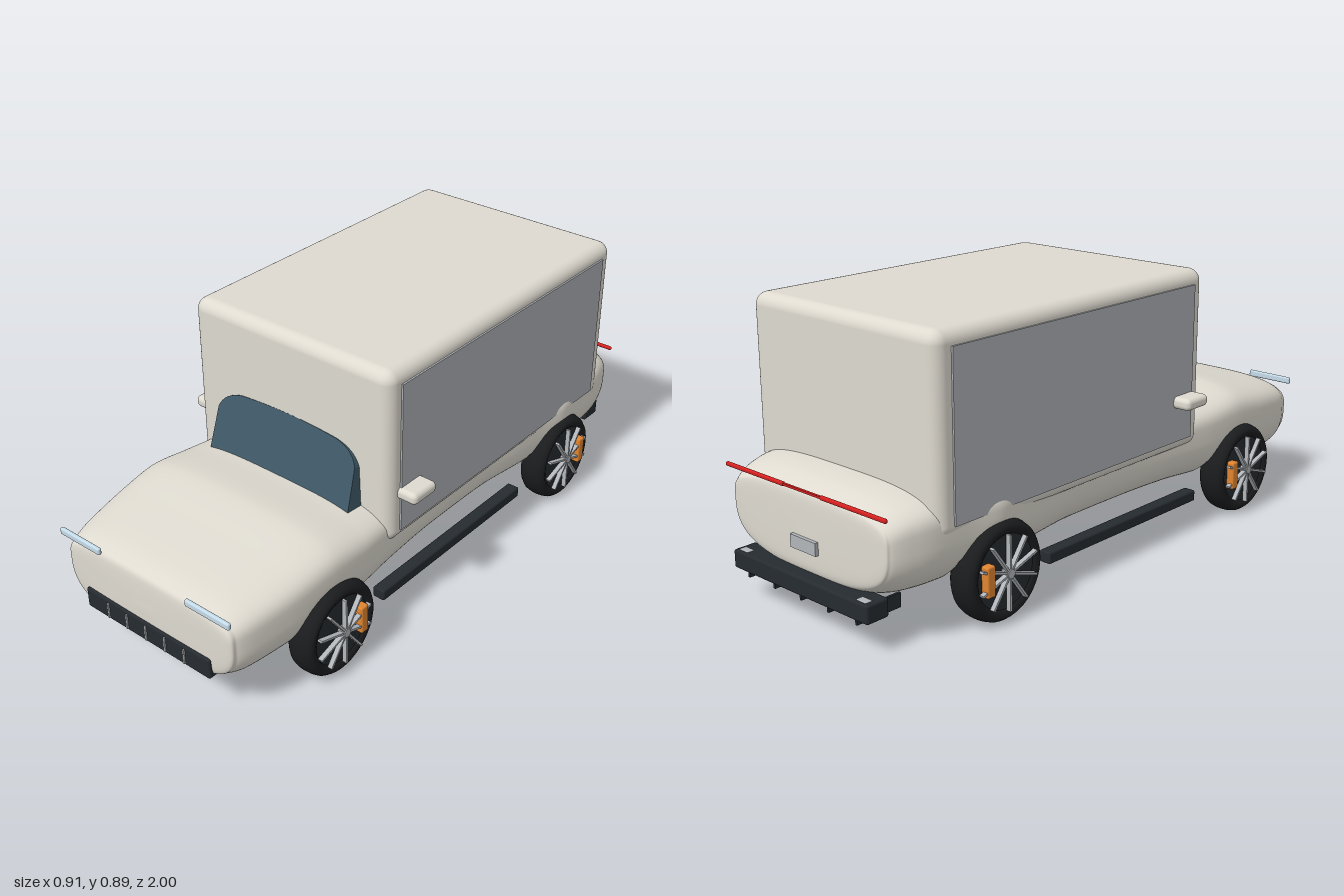
import * as THREE from 'three';
import { RoundedBoxGeometry } from 'three/addons/geometries/RoundedBoxGeometry.js';

const mat = (color) => new THREE.MeshStandardMaterial({ color });
const PAINT = mat(0xdedad0), DARK = mat(0x262b30), TYRE = mat(0x1b1c1e), GLASS = mat(0x405a68),
  PANEL = mat(0xacb0b5), SILVER = mat(0xb2b6ba), LAMP = mat(0xc4dae8), RED = mat(0xd42020), ORANGE = mat(0xe08530);
const WHEEL_Z = [0.605, -0.583], WHEEL_Y = 0.155, WHEEL_R = 0.154, ARCH_R = 0.163;

function add(parent, name, geo, material, x = 0, y = 0, z = 0) {
  const mesh = new THREE.Mesh(geo, material);
  mesh.name = name;
  mesh.position.set(x, y, z);
  parent.add(mesh);
  return mesh;
}

// box given by its limits on each axis, optionally rounded
function block(parent, name, material, [x0, x1], [y0, y1], [z0, z1], r = 0) {
  const w = x1 - x0, h = y1 - y0, d = z1 - z0;
  const geo = r ? new RoundedBoxGeometry(w, h, d, 4, r) : new THREE.BoxGeometry(w, h, d);
  return add(parent, name, geo, material, (x0 + x1) / 2, (y0 + y1) / 2, (z0 + z1) / 2);
}
const span = (s, a, b) => (s > 0 ? [a, b] : [-b, -a]);

// lower body: rounded cross-sections lofted along z, the underside arched over each axle
function bodyGeometry() {
  // z, half width, bottom, top
  const rows = [
    [-0.963, 0.02, 0.25, 0.27], [-0.96, 0.3, 0.172, 0.375], [-0.945, 0.338, 0.145, 0.4], [-0.89, 0.363, 0.122, 0.425],
    [-0.8, 0.382, 0.115, 0.437], [-0.58, 0.388, 0.115, 0.43], [-0.38, 0.376, 0.125, 0.42], [-0.2, 0.36, 0.132, 0.42],
    [0.1, 0.36, 0.132, 0.42], [0.3, 0.372, 0.13, 0.42], [0.45, 0.386, 0.12, 0.43], [0.6, 0.39, 0.11, 0.447],
    [0.76, 0.379, 0.102, 0.422], [0.9, 0.357, 0.102, 0.397], [0.955, 0.338, 0.115, 0.38], [0.98, 0.305, 0.14, 0.357],
    [0.985, 0.02, 0.24, 0.26],
  ];
  const curve = (points) => new THREE.CatmullRomCurve3(points, false, 'catmullrom', 0.4);
  const widths = curve(rows.map(([z, w]) => new THREE.Vector3(z, w, 0)));
  const heights = curve(rows.map(([z, , b, t]) => new THREE.Vector3(z, b, t)));
  const NZ = 320, NA = 100, pos = [], idx = [];
  const bend = (v, n) => Math.sign(v) * Math.abs(v) ** (2 / n);
  for (let i = 0; i <= NZ; i++) {
    const { x: z, y: w } = widths.getPoint(i / NZ);
    const { y: bottom, z: top } = heights.getPoint(i / NZ);
    const mid = bottom + (top - bottom) * 0.64;
    let arch = 0;
    for (const wz of WHEEL_Z) {
      const dz = Math.abs(z - wz);
      if (dz < ARCH_R) arch = WHEEL_Y - 0.03 + 1.1 * Math.sqrt(ARCH_R ** 2 - dz ** 2);
    }
    // small flare over the rear wheel
    const flare = 0.012 * Math.exp(-(((z - WHEEL_Z[1]) / 0.07) ** 2));
    for (let j = 0; j < NA; j++) {
      const a = (j / NA) * Math.PI * 2, c = Math.cos(a), s = Math.sin(a);
      const n = s > 0 ? 3.4 : 3;
      const y = mid + (s > 0 ? top - mid : mid - bottom) * bend(s, n);
      pos.push((w + flare) * bend(c, n), Math.max(y, arch), z);
      if (i < NZ) {
        const p = i * NA + j, q = i * NA + ((j + 1) % NA);
        idx.push(p, q, p + NA, q, q + NA, p + NA);
      }
    }
  }
  // close both ends
  const ends = [0, NZ].map((row) => {
    const p = widths.getPoint(row / NZ), h = heights.getPoint(row / NZ);
    pos.push(0, (h.y + h.z) / 2, p.x);
    return pos.length / 3 - 1;
  });
  for (let j = 0; j < NA; j++) {
    const n = (j + 1) % NA;
    idx.push(ends[0], n, j, ends[1], NZ * NA + j, NZ * NA + n);
  }
  const geo = new THREE.BufferGeometry();
  geo.setAttribute('position', new THREE.Float32BufferAttribute(pos, 3));
  geo.setIndex(idx);
  geo.computeVertexNormals();
  return geo;
}

function wheel(parent, name, s, z) {
  const g = new THREE.Group();
  g.name = name;
  g.position.set(s * 0.372, WHEEL_Y, z);
  parent.add(g);
  const axle = (part, geo, material, x = 0) => {
    add(g, part, geo, material, s * x).rotation.z = -s * Math.PI / 2;
  };
  // tyre profile: radius, distance along the axle
  const profile = [[0.114, -0.04], [0.128, -0.047], [0.14, -0.043], [0.149, -0.032], [0.153, -0.016], [WHEEL_R, 0],
    [0.153, 0.016], [0.149, 0.032], [0.14, 0.043], [0.128, 0.047], [0.114, 0.04], [0.11, 0.03], [0.11, -0.03], [0.114, -0.04]];
  axle('tyre', new THREE.LatheGeometry(profile.map(([r, y]) => new THREE.Vector2(r, y)), 48), TYRE);
  axle('wheelDish', new THREE.CylinderGeometry(0.113, 0.113, 0.05, 40), DARK, 0.012);
  axle('hub', new THREE.CylinderGeometry(0.014, 0.018, 0.026, 20), SILVER, 0.049);
  const spokes = new THREE.Group();
  spokes.name = 'spokes';
  g.add(spokes);
  for (let i = 0; i < 10; i++) {
    const a = (i / 10) * Math.PI * 2;
    const m = add(spokes, 'spoke', new THREE.BoxGeometry(0.016, 0.104, 0.007), SILVER,
      s * 0.051, Math.cos(a) * 0.064, Math.sin(a) * 0.064);
    m.rotation.x = a;
  }
  add(g, 'brakeCaliper', new RoundedBoxGeometry(0.034, 0.095, 0.032, 3, 0.006), ORANGE, s * 0.045, 0, -0.08);
}

// slanted windscreen with rounded upper corners
function windscreen(parent) {
  const shape = new THREE.Shape();
  shape.moveTo(-0.285, -0.03);
  shape.lineTo(0.285, -0.03);
  shape.lineTo(0.278, 0.125);
  shape.quadraticCurveTo(0.262, 0.176, 0.19, 0.188);
  shape.quadraticCurveTo(0, 0.206, -0.19, 0.188);
  shape.quadraticCurveTo(-0.262, 0.176, -0.278, 0.125);
  shape.closePath();
  const geo = new THREE.ExtrudeGeometry(shape, { depth: 0.09, bevelEnabled: false, curveSegments: 12 });
  geo.translate(0, 0, -0.09);
  add(parent, 'windscreen', geo, GLASS, 0, 0.43, 0.422).rotation.x = -0.29;
}

export function createModel() {
  const car = new THREE.Group();
  car.name = 'van';

  add(car, 'lowerBody', bodyGeometry(), PAINT);
  block(car, 'cargoBox', PAINT, [-0.388, 0.388], [0.3, 0.886], [-0.82, 0.365], 0.04);
  windscreen(car);

  for (const s of [1, -1]) {
    const side = s > 0 ? 'left' : 'right';
    block(car, side + 'SidePanel', PANEL, span(s, 0.38, 0.394), [0.338, 0.84], [-0.76, 0.31]);
    block(car, side + 'Mirror', PAINT, span(s, 0.37, 0.453), [0.452, 0.491], [0.213, 0.322], 0.016);
    block(car, side + 'Sill', DARK, span(s, 0.335, 0.378), [0.095, 0.132], [-0.36, 0.37], 0.006);
    block(car, side + 'Headlight', LAMP, span(s, 0.175, 0.345), [0.365, 0.388], [0.978, 0.992], 0.006);
    block(car, side + 'TailLight', RED, span(s, 0.08, 0.348), [0.395, 0.408], [-0.972, -0.96], 0.005);
    block(car, side + 'Exhaust', SILVER, span(s, 0.24, 0.28), [0.135, 0.159], [-0.99, -0.965], 0.004);
    WHEEL_Z.forEach((z, i) => wheel(car, side + (i ? 'RearWheel' : 'FrontWheel'), s, z));
  }
  block(car, 'tailLightBar', RED, [-0.09, 0.09], [0.398, 0.405], [-0.97, -0.962]);

  // grille with upright slats
  block(car, 'grille', DARK, [-0.256, 0.256], [0.141, 0.211], [0.94, 0.991], 0.008);
  for (let i = -2; i <= 2; i++) {
    block(car, 'grilleSlat', SILVER, [i * 0.079 - 0.003, i * 0.079 + 0.003], [0.15, 0.201], [0.985, 0.996]);
  }

  // rear bumper, diffuser with fins, and number plate
  block(car, 'rearBumper', DARK, [-0.295, 0.295], [0.098, 0.156], [-1, -0.92], 0.008);
  for (let i = -2; i <= 2; i++) {
    block(car, 'diffuserFin', DARK, [i * 0.119 - 0.004, i * 0.119 + 0.004], [0.08, 0.125], [-0.99, -0.83]);
  }
  block(car, 'numberPlate', SILVER, [-0.055, 0.055], [0.222, 0.262], [-0.974, -0.95]);

  return car;
}
